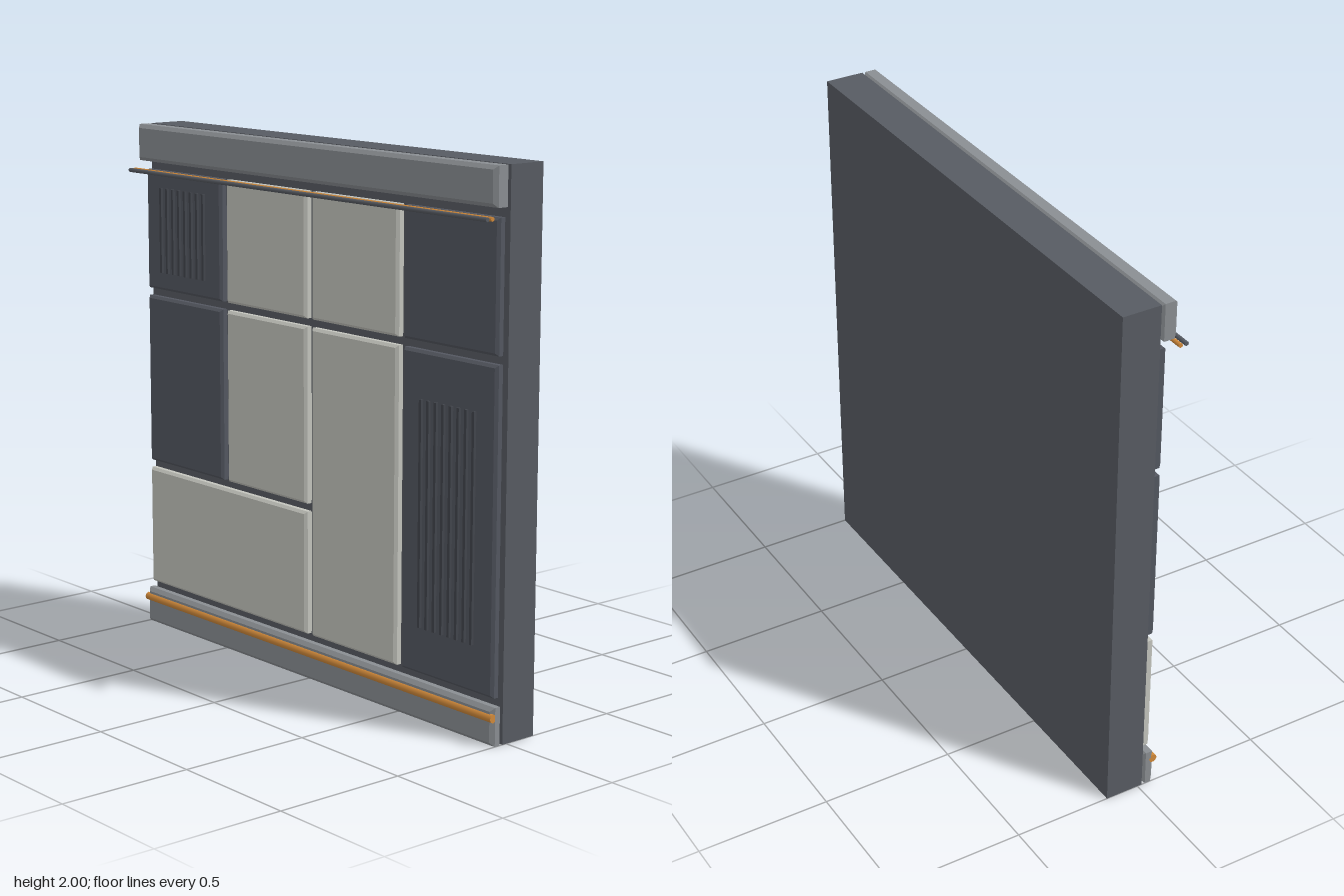
import * as THREE from 'three';

const mat = (name, color) => {
  const m = new THREE.MeshStandardMaterial({ color });
  m.name = name;
  return m;
};

export function createModel() {
  const slate = mat('slate', 0x575b62);
  const darkPanel = mat('darkPanel', 0x535760);
  const lightPanel = mat('lightPanel', 0xc3c4bd);
  const steel = mat('steel', 0x8a8e92);
  const charcoal = mat('charcoal', 0x42454c);
  const orange = mat('orange', 0xd0893a);
  const wall = new THREE.Group();
  wall.name = 'wallPanel';
  const front = 0.018; // front face of the backing slab

  const add = (name, geometry, material, x, y, z) => {
    const mesh = new THREE.Mesh(geometry, material);
    mesh.name = name;
    mesh.position.set(x, y, z);
    wall.add(mesh);
    return mesh;
  };

  // Block with chamfered edges, standing on the backing slab
  const plate = (name, x0, x1, y0, y1, depth, c, material) => {
    const w = (x1 - x0) / 2 - c, h = (y1 - y0) / 2 - c;
    const s = new THREE.Shape([
      new THREE.Vector2(-w, -h), new THREE.Vector2(w, -h),
      new THREE.Vector2(w, h), new THREE.Vector2(-w, h),
    ]);
    const g = new THREE.ExtrudeGeometry(s, {
      depth: depth - 2 * c, bevelEnabled: true, bevelSegments: 1, bevelSize: c, bevelThickness: c,
    });
    return add(name, g, material, (x0 + x1) / 2, (y0 + y1) / 2, front + c);
  };

  // Horizontal rod across the full width
  const rod = (name, r, y, z, material) => {
    const g = new THREE.CylinderGeometry(r, r, 2, 8);
    g.rotateZ(Math.PI / 2);
    return add(name, g, material, 0, y, z);
  };

  // Backing slab
  add('backingSlab', new THREE.BoxGeometry(2, 2, 0.148), slate, 0, 1, front - 0.074);

  // Top and bottom beams
  plate('topBeam', -1, 1, 1.86, 2, 0.069, 0.014, steel);
  plate('bottomBeam', -1, 1, 0, 0.14, 0.05, 0.014, steel);

  // Panels: left, right, bottom, top
  const panels = [
    [-0.485, -0.015, 1.36, 1.825, lightPanel],
    [0.015, 0.485, 1.36, 1.825, lightPanel],
    [-0.485, -0.015, 0.667, 1.33, lightPanel],
    [0.015, 0.485, 0.168, 1.33, lightPanel],
    [-0.985, -0.015, 0.168, 0.637, lightPanel],
    [-0.985, -0.515, 1.36, 1.825, darkPanel],
    [-0.985, -0.515, 0.667, 1.33, darkPanel],
    [0.515, 0.985, 1.36, 1.825, darkPanel],
    [0.515, 0.985, 0.168, 1.33, darkPanel],
  ];
  for (const [x0, x1, y0, y1, m] of panels) {
    plate(m === lightPanel ? 'lightPanel' : 'darkPanel', x0, x1, y0, y1, 0.038, 0.01, m);
  }

  // Vent slats on two of the dark panels
  for (const [cx, y0, y1] of [[-0.75, 1.43, 1.76], [0.75, 0.34, 1.16]]) {
    for (let i = 0; i < 8; i++) {
      add('ventSlat', new THREE.BoxGeometry(0.012, y1 - y0, 0.02), charcoal,
        cx + (i - 3.5) * 0.038, (y0 + y1) / 2, 0.056);
    }
  }

  // Rod along the bottom beam and the pair of pipes below the top beam
  rod('bottomRod', 0.016, 0.103, 0.063, orange);
  rod('innerPipe', 0.008, 1.825, 0.099, orange);
  rod('outerPipe', 0.008, 1.825, 0.122, slate);

  return wall;
}
